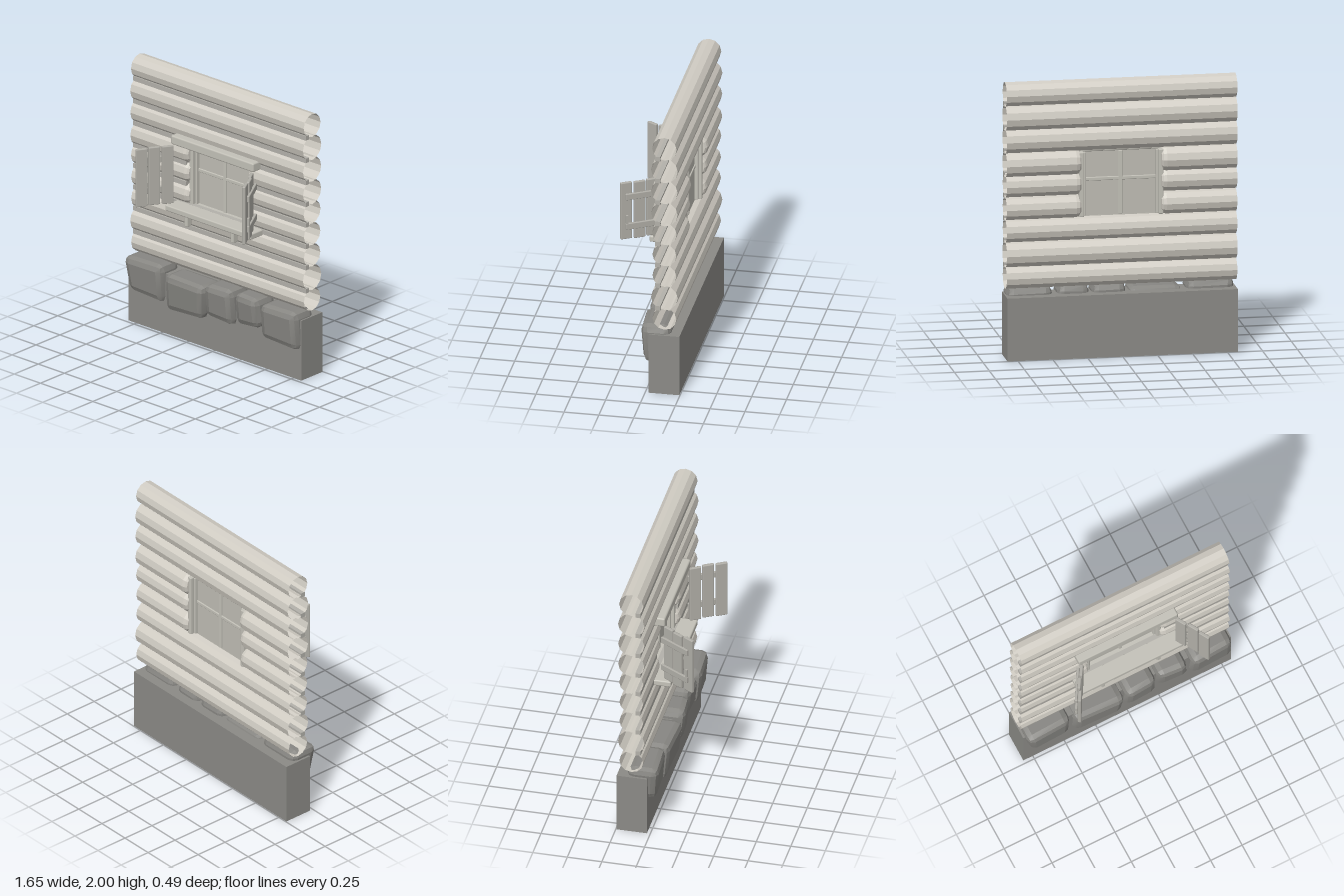
import * as THREE from 'three';
import { RoundedBoxGeometry } from 'three/addons/geometries/RoundedBoxGeometry.js';
import { toCreasedNormals } from 'three/addons/utils/BufferGeometryUtils.js';

const mat = (name, color) => Object.assign(new THREE.MeshStandardMaterial({ color }), { name });

export function createModel() {
  const model = new THREE.Group();
  model.name = 'logWallWithWindow';
  const logWood = mat('log wood', 0xd0ccc3);
  logWood.side = THREE.DoubleSide; // logs are open tubes
  const trimWood = mat('trim wood', 0xc3c1b8);
  const shutterWood = mat('shutter wood', 0xb0aea7);
  const glass = mat('window pane', 0xbfbdb4);
  const chinkMat = mat('chinking', 0xb3b1aa);
  const baseMat = mat('foundation', 0x8b8a86);
  const stoneMat = mat('stone', 0x878682);

  const add = (name, geo, material, x = 0, y = 0, z = 0, parent = model) => {
    const m = new THREE.Mesh(geo, material);
    m.name = name;
    m.position.set(x, y, z);
    parent.add(m);
    return m;
  };
  const box = (w, h, d) => new THREE.BoxGeometry(w, h, d);
  // box with a small chamfered edge
  const plank = (w, h, d, r = 0.007) => new RoundedBoxGeometry(w, h, d, 1, r);
  const flat = (g) => {
    const f = g.toNonIndexed();
    f.computeVertexNormals();
    return f;
  };

  const HALF = 0.825, OPEN = 0.288, LOG_Z = -0.138;

  // Logs [height, radius], top to bottom; three are cut by the window
  const logs = [[1.912, 0.088], [1.743, 0.096], [1.578, 0.095], [1.405, 0.095], [1.252, 0.088],
    [1.085, 0.086], [0.923, 0.086], [0.753, 0.096], [0.588, 0.086]];
  logs.forEach(([y, r], i) => {
    if (i < 3 || i > 5) {
      const g = flat(new THREE.CylinderGeometry(r, r, HALF * 2, 12, 1, true));
      add('log', g, logWood, 0, y, LOG_Z).rotation.z = Math.PI / 2;
      return;
    }
    // short logs: open outside, worn and closed beside the window
    const len = HALF - OPEN;
    const profile = [[r, 0], [r, len - 0.035], [r * 0.93, len - 0.012], [r * 0.8, len], [0, len]]
      .map(([a, b]) => new THREE.Vector2(a, b));
    for (const s of [-1, 1]) {
      const g = flat(new THREE.LatheGeometry(profile, 12));
      add('shortLog', g, logWood, s * HALF, y, LOG_Z).rotation.z = s * Math.PI / 2;
    }
  });

  // Chinking strips in the joints between logs
  for (let i = 0; i < logs.length - 1; i++) {
    const y = (logs[i][0] - logs[i][1] + logs[i + 1][0] + logs[i + 1][1]) / 2;
    if (i === 3 || i === 4) {
      const w = HALF - 0.32;
      for (const s of [-1, 1]) add('chinking', box(w, 0.034, 0.036), chinkMat, s * (HALF - w / 2), y, -0.09);
    } else add('chinking', box(HALF * 2, 0.034, 0.036), chinkMat, 0, y, -0.09);
  }

  // Foundation block
  add('foundation', box(HALF * 2, 0.455, 0.22), baseMat, 0, 0.2275, -0.135);

  // Boulders: faceted blocks, narrowed and leaned by a simple rule
  // [x0, x1, y0, y1, front z, bottom taper, lean]
  const stones = [
    [-0.81, -0.46, 0.245, 0.52, 0.045, 0.12, 0.02],
    [-0.445, -0.055, 0.21, 0.48, 0.052, 0.05, -0.01],
    [-0.045, 0.21, 0.26, 0.52, 0.057, -0.06, 0],
    [0.22, 0.46, 0.285, 0.52, 0.045, -0.08, 0.01],
    [0.48, 0.82, 0.235, 0.515, 0.05, -0.05, 0],
  ];
  stones.forEach(([x0, x1, y0, y1, zf, taper, lean], i) => {
    const w = x1 - x0, h = y1 - y0, d = zf + 0.175, tilt = i % 2 ? 1 : -1;
    const g = new RoundedBoxGeometry(w, h, d, 1, 0.05);
    const p = g.attributes.position;
    for (let k = 0; k < p.count; k++) {
      const u = p.getX(k) / w, v = p.getY(k) / h, t = p.getZ(k) / d;
      const narrow = 1 - Math.abs(taper) * (taper > 0 ? 0.5 - v : 0.5 + v);
      p.setXYZ(k,
        u * w * narrow - lean * v,
        v * h + 0.03 * u * tilt * (0.5 - v),
        t * d - 0.025 * (0.5 - v) * (t + 0.5) + 0.02 * u * tilt * (t + 0.5));
    }
    add('stone', toCreasedNormals(g, 0.3), stoneMat, (x0 + x1) / 2, (y0 + y1) / 2, (zf - 0.175) / 2);
  });

  // Window pane, bars and side posts
  add('windowPane', box(0.53, 0.47, 0.008), glass, 0, 1.245, -0.14);
  add('verticalBar', plank(0.028, 0.46, 0.03, 0.005), trimWood, 0, 1.245, -0.14);
  add('crossBar', plank(0.53, 0.026, 0.026, 0.005), trimWood, 0, 1.275, -0.14);
  for (const s of [-1, 1]) {
    add('sidePost', plank(0.035, 0.47, 0.11), trimWood, s * 0.284, 1.245, -0.14);
    add('innerStop', plank(0.018, 0.46, 0.06, 0.004), trimWood, s * 0.259, 1.245, -0.14);
  }

  // Lintel, sill and sill brackets
  add('lintel', plank(0.79, 0.068, 0.155, 0.012), trimWood, -0.003, 1.506, -0.073);
  add('sill', plank(0.82, 0.045, 0.195, 0.01), trimWood, 0, 0.998, -0.047);
  for (const s of [-1, 1]) add('sillBracket', plank(0.03, 0.085, 0.046), trimWood, s * 0.22, 0.942, 0.016);

  // Open shutters: three planks, two battens and a pull on the outer face
  for (const s of [-1, 1]) {
    const shutter = new THREE.Group();
    shutter.name = s > 0 ? 'leftShutter' : 'rightShutter';
    shutter.position.set(s * 0.377, 1.25, -0.005);
    shutter.rotation.y = -s * 1.04;
    model.add(shutter);
    for (let i = 0; i < 3; i++) {
      add('shutterPlank', plank(0.085, 0.44, 0.026), shutterWood, s * (0.044 + i * 0.097), 0, i === 1 ? -0.006 : 0.003, shutter);
    }
    for (const y of [0.115, -0.115]) {
      add('shutterBatten', plank(0.255, 0.048, 0.02, 0.005), shutterWood, s * 0.123, y, -0.022, shutter);
    }
    add('shutterPull', plank(0.018, 0.075, 0.018, 0.004), shutterWood, s * 0.238, -0.065, -0.022, shutter);
  }
  return model;
}
